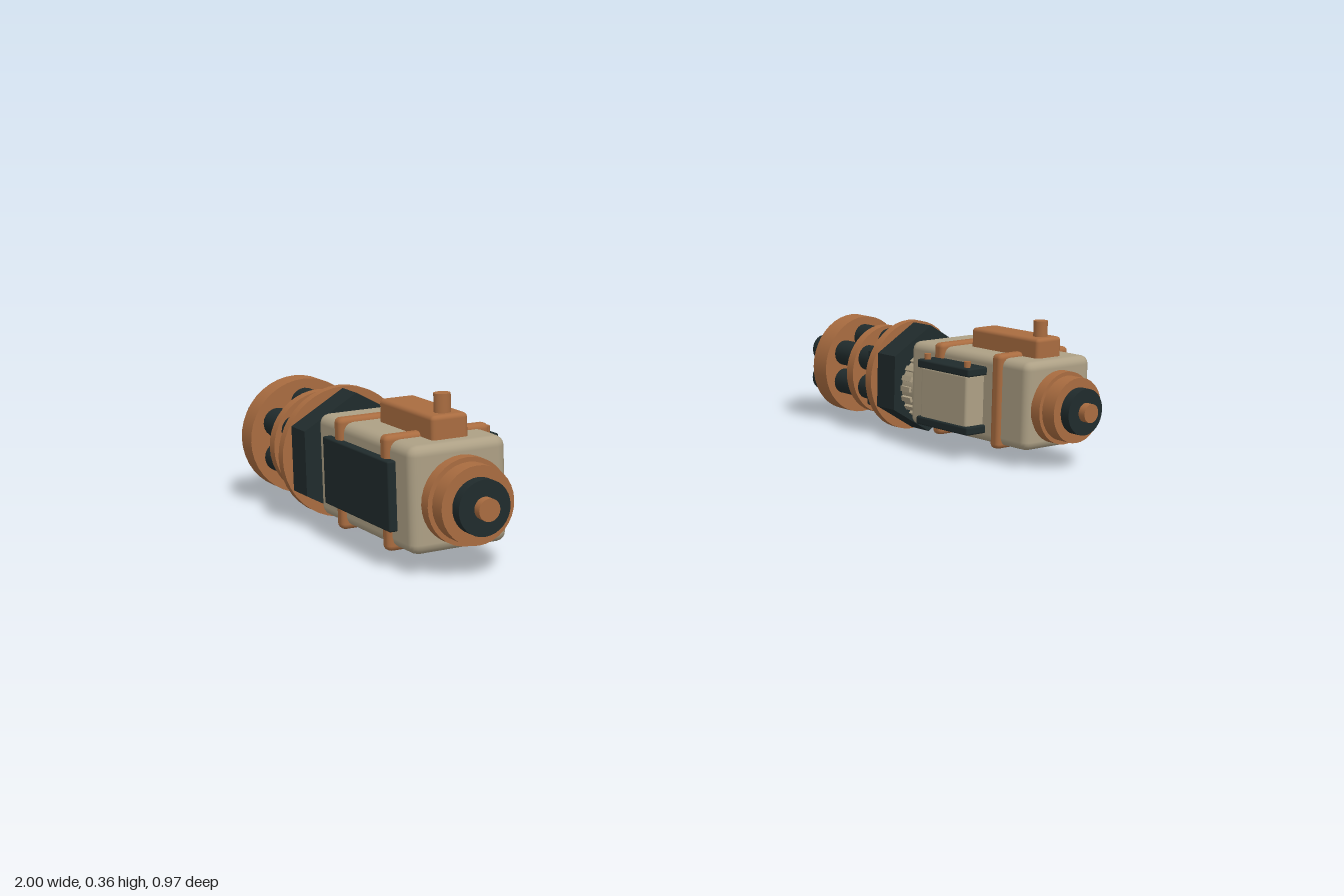
import * as THREE from 'three';
import { RoundedBoxGeometry } from 'three/addons/geometries/RoundedBoxGeometry.js';

const mat = (name, color) => {
  const m = new THREE.MeshStandardMaterial({ color });
  m.name = name;
  return m;
};

export function createModel() {
  const tan = mat('tan', 0xada085);
  const copper = mat('copper', 0xa96c40);
  const dark = mat('dark steel', 0x202b2c);
  const root = new THREE.Group();
  root.name = 'rotaryCannonPair';

  // side = +1 or -1; local coordinates: u points outward, v is height above the axis
  const buildCannon = (side) => {
    const gun = new THREE.Group();
    gun.name = side > 0 ? 'leftCannon' : 'rightCannon';
    gun.position.set(side * 0.85, 0.15, 0);
    root.add(gun);

    const add = (name, geo, material, u, v, z) => {
      const mesh = new THREE.Mesh(geo, material);
      mesh.name = name;
      mesh.position.set(side * u, v, z);
      gun.add(mesh);
      return mesh;
    };
    // cylinder along z between two depths
    const rod = (name, material, r, z0, z1, u = 0, v = 0, sides = 32) => {
      let geo = new THREE.CylinderGeometry(r, r, Math.abs(z1 - z0), sides).rotateX(Math.PI / 2);
      if (sides < 12) {
        geo = geo.toNonIndexed();
        geo.computeVertexNormals();
      }
      return add(name, geo, material, u, v, (z0 + z1) / 2);
    };
    const block = (name, material, w, h, d, u, v, z, r = 0.006) =>
      add(name, new RoundedBoxGeometry(w, h, d, 2, r), material, u, v, z);

    // receiver with straps and outer panel
    block('receiver', tan, 0.222, 0.226, 0.442, 0.003, 0.007, 0.151, 0.022);
    for (const z of [0.266, 0.049]) block('strap', copper, 0.242, 0.244, 0.033, 0.003, 0.008, z, 0.012);
    block('outerPanel', dark, 0.03, 0.148, 0.31, 0.117, 0.008, 0.15, 0.004);

    // top rail with pin
    block('topRail', copper, 0.084, 0.06, 0.243, 0.002, 0.14, 0.213, 0.01);
    const pin = new THREE.CylinderGeometry(0.018, 0.018, 0.06, 20);
    add('railPin', pin, copper, 0.002, 0.18, 0.3);

    // inner feed box between two dark plates with bolts
    block('feedBox', tan, 0.07, 0.14, 0.175, -0.132, 0.003, 0.127, 0.008);
    for (const v of [0.08, -0.071]) block('feedPlate', dark, 0.075, 0.022, 0.195, -0.134, v, 0.127, 0.005);
    for (const z of [0.05, 0.2]) {
      add('feedBolt', new THREE.CylinderGeometry(0.009, 0.009, 0.018, 12), copper, -0.153, 0.097, z);
    }

    // stepped nose
    rod('noseCollar', copper, 0.093, 0.36, 0.4);
    rod('noseRing', copper, 0.083, 0.4, 0.44);
    rod('noseCap', dark, 0.059, 0.44, 0.467);
    rod('noseTip', copper, 0.024, 0.467, 0.487);

    // ribbed neck, set slightly inward and down
    rod('neck', tan, 0.086, -0.06, -0.112, -0.014, -0.015);
    for (let i = 0; i < 20; i++) {
      const a = (i / 20) * Math.PI * 2;
      const rib = add('neckRib', new THREE.BoxGeometry(0.014, 0.018, 0.036), tan,
        -0.014 + Math.cos(a) * 0.084, -0.015 + Math.sin(a) * 0.084, -0.09);
      rib.rotation.z = (a - Math.PI / 2) * side;
    }
    block('neckFoot', tan, 0.05, 0.03, 0.03, -0.045, -0.096, -0.058, 0.006);

    // hexagonal drum and its flange
    rod('drum', dark, 0.146, -0.11, -0.22, 0, 0, 6);
    rod('drumFlange', copper, 0.15, -0.18, -0.203, 0, 0, 40);

    // barrel cluster
    rod('centralShaft', copper, 0.036, -0.21, -0.455);
    rod('shaftCap', copper, 0.024, -0.455, -0.468);
    for (let i = 0; i < 6; i++) {
      const a = Math.PI / 6 + (i * Math.PI) / 3;
      const u = Math.cos(a) * 0.08, v = Math.sin(a) * 0.08;
      rod('barrel', dark, 0.0345, -0.21, -0.45, u, v, 20);
      rod('muzzle', dark, 0.038, -0.44, -0.486, u, v, 20);
    }
    rod('middleClamp', copper, 0.123, -0.289, -0.315, 0, 0, 40);
    rod('frontClamp', copper, 0.136, -0.391, -0.446, 0, 0, 40);
  };

  [1, -1].forEach(buildCannon);
  return root;
}
